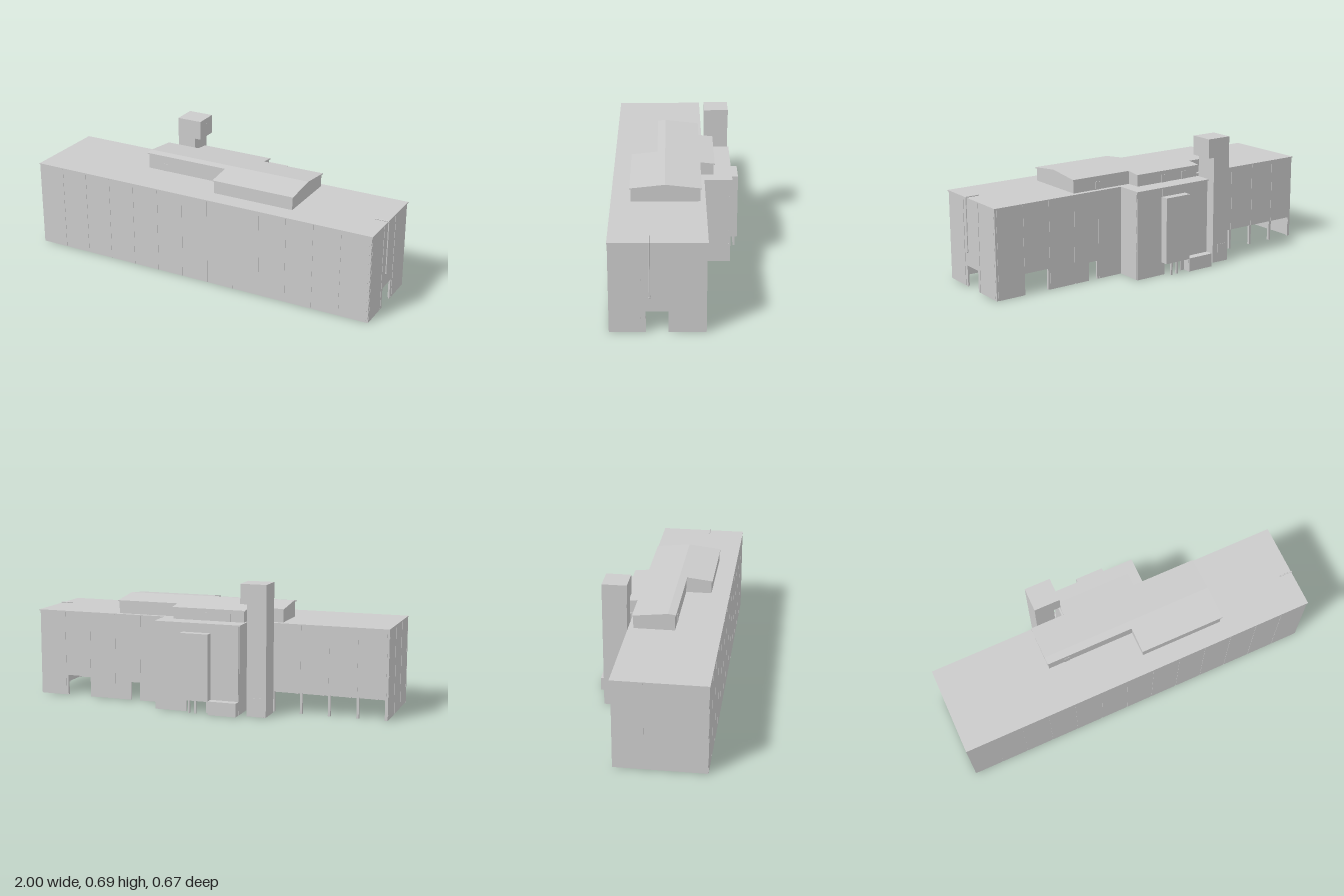
import * as THREE from 'three';

const mat = new THREE.MeshStandardMaterial({ color: 0xcccccc, flatShading: true });
const TOP = 0.472; // underside of the main roof
const COL = 0.013; // column width

export function createModel() {
  const model = new THREE.Group();

  function add(name, geo, parent = model) {
    const m = new THREE.Mesh(geo, mat);
    m.name = name;
    parent.add(m);
    return m;
  }
  // Box given by its limits on each axis
  function box(name, x0, x1, y0, y1, z0, z1, parent = model) {
    const g = new THREE.BoxGeometry(x1 - x0, y1 - y0, z1 - z0);
    g.translate((x0 + x1) / 2, (y0 + y1) / 2, (z0 + z1) / 2);
    return add(name, g, parent);
  }
  // Extrusion of a (z, y) outline along x
  function slice(name, pts, x0, x1) {
    const shape = new THREE.Shape(pts.map(p => new THREE.Vector2(...p)));
    const g = new THREE.ExtrudeGeometry(shape, { depth: x1 - x0, bevelEnabled: false });
    g.rotateY(-Math.PI / 2);
    g.translate(x1, 0, 0);
    return add(name, g);
  }

  // Facade of recessed columns and panels. A gap is either a height
  // (the whole bay is raised) or [from, to, height] for a doorway.
  function facade(name, x, z, turn, bays, pitch, gaps = {}, skip = []) {
    const wall = new THREE.Group();
    wall.name = name;
    wall.position.set(x, 0, z);
    wall.rotation.y = turn;
    model.add(wall);
    for (let i = 0; i <= bays; i++) {
      if (skip.includes(i) && skip.includes(i - 1)) continue;
      const c = i * pitch;
      box('column', c - COL / 2, c + COL / 2, 0, TOP, -0.016, -0.002, wall);
    }
    for (let i = 0; i < bays; i++) {
      if (skip.includes(i)) continue;
      const x0 = i * pitch + 0.004, x1 = (i + 1) * pitch - 0.004;
      const gap = gaps[i];
      const base = typeof gap === 'number' ? gap : 0;
      const s = new THREE.Shape();
      s.moveTo(x0, base);
      if (Array.isArray(gap)) {
        const [a, b, h] = gap;
        s.lineTo(i * pitch + a, 0);
        s.lineTo(i * pitch + a, h);
        s.lineTo(i * pitch + b, h);
        s.lineTo(i * pitch + b, 0);
      }
      s.lineTo(x1, base);
      s.lineTo(x1, TOP);
      s.lineTo(x0, TOP);
      const g = new THREE.ExtrudeGeometry(s, { depth: 0.006, bevelEnabled: false });
      g.translate(0, 0, -0.006);
      add('wallPanel', g, wall);
    }
  }

  // Main hall walls
  const P = 0.1518, H = Math.PI / 2;
  facade('frontWall', -0.993, 0.333, 0, 13, P);
  facade('backWall', 0.981, -0.141, Math.PI, 13, P,
    { 1: 0.113, 3: [0.091, 0.143, 0.1], 8: 0.113, 9: 0.113, 10: 0.113, 11: 0.113, 12: 0.113 },
    [5, 6, 7]);
  facade('leftEndWall', 0.988, 0.326, H, 3, 0.1527, { 1: [0.02, 0.13, 0.113] });
  facade('rightEndWall', -0.999, -0.132, -H, 3, 0.1527);

  // Rear wing walls
  facade('wingBackWall', 0.222, -0.289, Math.PI, 3, P, { 1: [0.02, 0.13, 0.06] });
  facade('wingLeftWall', 0.229, -0.139, H, 1, 0.143);
  facade('wingRightWall', -0.241, -0.282, -H, 1, 0.143);

  // Flat roofs
  box('mainRoof', -1, 0.991, TOP, 0.478, -0.146, 0.335);
  box('wingRoof', -0.248, 0.231, TOP, 0.478, -0.293, -0.146);

  // Narrow slits up the wing's side
  for (const y of [0.085, 0.183, 0.272, 0.36, 0.442]) {
    box('slit', 0.228, 0.231, y - 0.02, y + 0.02, -0.28, -0.276);
  }

  // Raised stair shaft on posts, with the low entrance beside it
  box('stairShaft', -0.085, 0.07, 0.07, 0.428, -0.332, -0.287);
  for (const px of [-0.01, 0.025]) box('shaftPost', px - 0.005, px + 0.005, 0, 0.07, -0.322, -0.312);
  box('entranceBlock', -0.24, -0.085, 0, 0.073, -0.332, -0.289);
  box('entranceDoor', -0.086, -0.083, 0, 0.063, -0.327, -0.297);

  // Tower with a wider head that overhangs on one side
  box('towerShaft', -0.39, -0.285, 0, 0.59, -0.287, -0.158);
  box('towerHead', -0.39, -0.248, 0.59, 0.695, -0.287, -0.156);
  box('towerWindow', -0.25, -0.247, 0.648, 0.664, -0.237, -0.205);
  box('towerDoor', -0.38, -0.32, 0, 0.1, -0.289, -0.286);

  // Rooftop house: slices of differing depth under one shallow gable
  const ridgeZ = 0.06, ridgeY = 0.571;
  const roofY = z => ridgeY - 0.111 * Math.abs(z - ridgeZ);
  const slices = [
    [-0.435, -0.245, -0.125, 0.102],
    [-0.245, 0.048, -0.202, 0.102],
    [0.048, 0.165, -0.202, 0.24],
    [0.165, 0.515, -0.125, 0.24],
  ];
  const T = 0.006, inset = 0.006;
  slices.forEach(([x0, x1, z0, z1], i) => {
    slice('gableRoof', [
      [z0, roofY(z0) - T], [ridgeZ, ridgeY - T], [z1, roofY(z1) - T],
      [z1, roofY(z1)], [ridgeZ, ridgeY], [z0, roofY(z0)],
    ], x0, x1);
    // Walls sit just inside the eaves
    const a = z0 + inset, b = z1 - inset;
    const wx0 = x0 + (i < 3 ? inset : 0) - (i === 3 ? inset : 0);
    const wx1 = x1 - (i > 1 ? inset : 0) + (i < 2 ? inset : 0);
    slice('roofHouseWall', [
      [a, 0.476], [b, 0.476], [b, roofY(b) - T], [ridgeZ, ridgeY - T], [a, roofY(a) - T],
    ], wx0, wx1);
  });
  for (const [x, z] of [[-0.325, 0.096], [-0.015, -0.197], [-0.15, -0.197], [0.36, -0.12]]) {
    box('roofHouseDoor', x - 0.015, x + 0.015, 0.478, 0.52, z - 0.002, z + 0.002);
  }

  // Pipe over the roof edge and down the end wall
  const pipe = new THREE.CurvePath();
  const pts = [[0.92, 0.481], [0.995, 0.481], [0.995, 0.192]].map(p => new THREE.Vector3(...p, 0.134));
  pipe.add(new THREE.LineCurve3(pts[0], pts[1]));
  pipe.add(new THREE.LineCurve3(pts[1], pts[2]));
  for (const c of pipe.curves) add('drainPipe', new THREE.TubeGeometry(c, 1, 0.0035, 8));
  const end = add('pipeEnd', new THREE.SphereGeometry(0.005, 8, 6));
  end.position.copy(pts[2]);

  return model;
}
